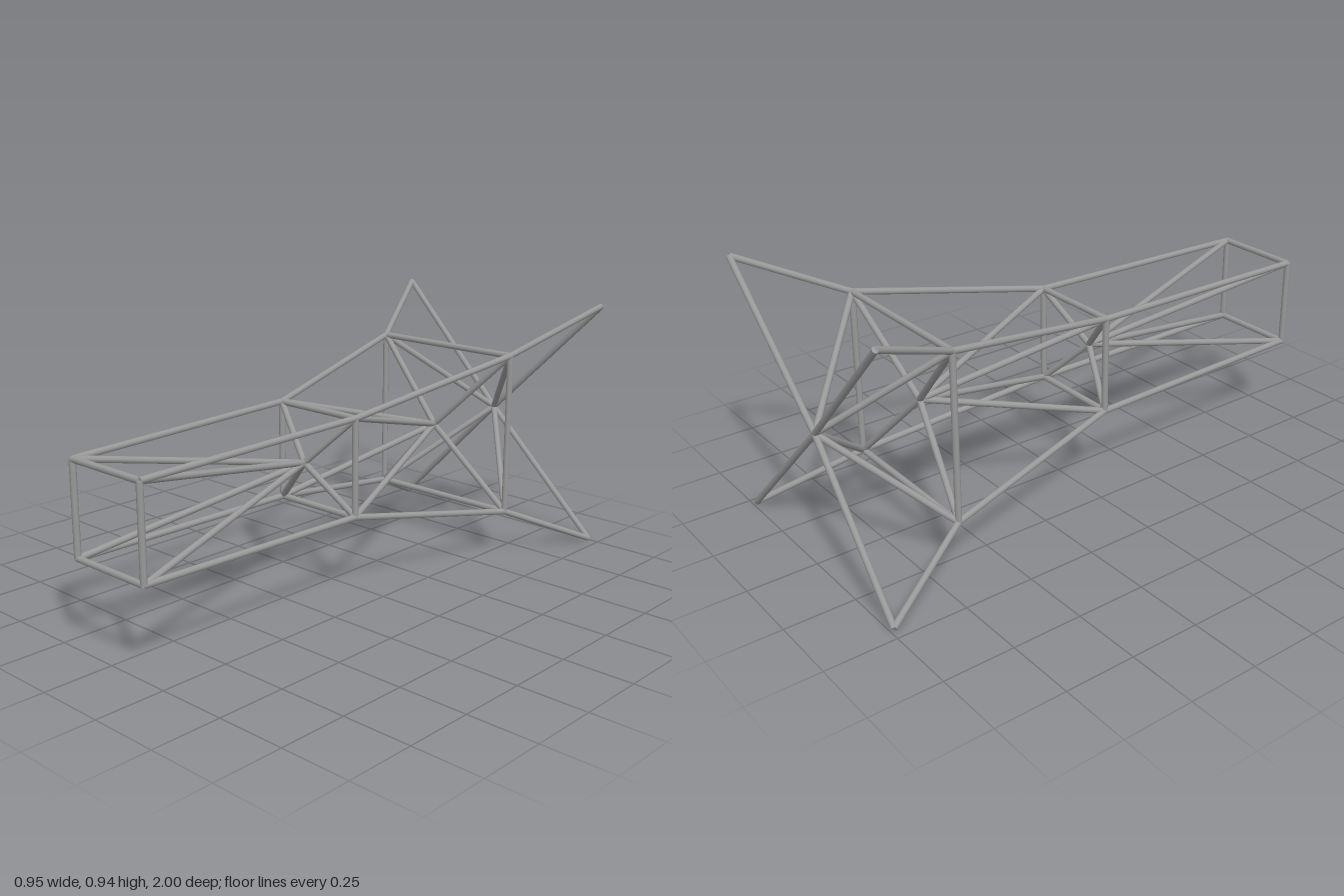
import * as THREE from 'three';

export function createModel() {
  const group = new THREE.Group();
  group.name = 'trussFrame';
  const steel = new THREE.MeshStandardMaterial({ color: 0x999999 });
  steel.name = 'grey steel';
  const CY = 0.473, R = 0.0115;
  const up = new THREE.Vector3(0, 1, 0);

  // Round bar between two points
  function bar(name, a, b) {
    const dir = b.clone().sub(a);
    const mesh = new THREE.Mesh(new THREE.CylinderGeometry(R, R, dir.length(), 10), steel);
    mesh.name = name;
    mesh.position.copy(a).add(b).multiplyScalar(0.5);
    mesh.quaternion.setFromUnitVectors(up, dir.normalize());
    group.add(mesh);
  }

  // Four corners of a square station across the z axis
  const corners = (half, z) => [[1, 1], [-1, 1], [-1, -1], [1, -1]]
    .map(([sx, sy]) => new THREE.Vector3(sx * half, CY + sy * half, z));

  const stations = [
    corners(0.163, 0.988),
    corners(0.177, 0.07),
    corners(0.302, -0.64),
    corners(0.462, -0.989), // free fin tips
  ];
  const hubs = [0.14, -0.58, -0.968].map((z) => new THREE.Vector3(0, CY, z));

  // Square frames (the tips stay unconnected)
  stations.slice(0, 3).forEach((s) => {
    for (let i = 0; i < 4; i++) bar('squareFrameBar', s[i], s[(i + 1) % 4]);
  });

  // Long edge bars and the braces meeting at each central hub
  hubs.forEach((hub, k) => {
    for (let i = 0; i < 4; i++) {
      bar(k === 2 ? 'finBar' : 'edgeBar', stations[k][i], stations[k + 1][i]);
      bar('frontBrace', stations[k][i], hub);
      bar('rearBrace', stations[k + 1][i], hub);
    }
  });

  return group;
}
